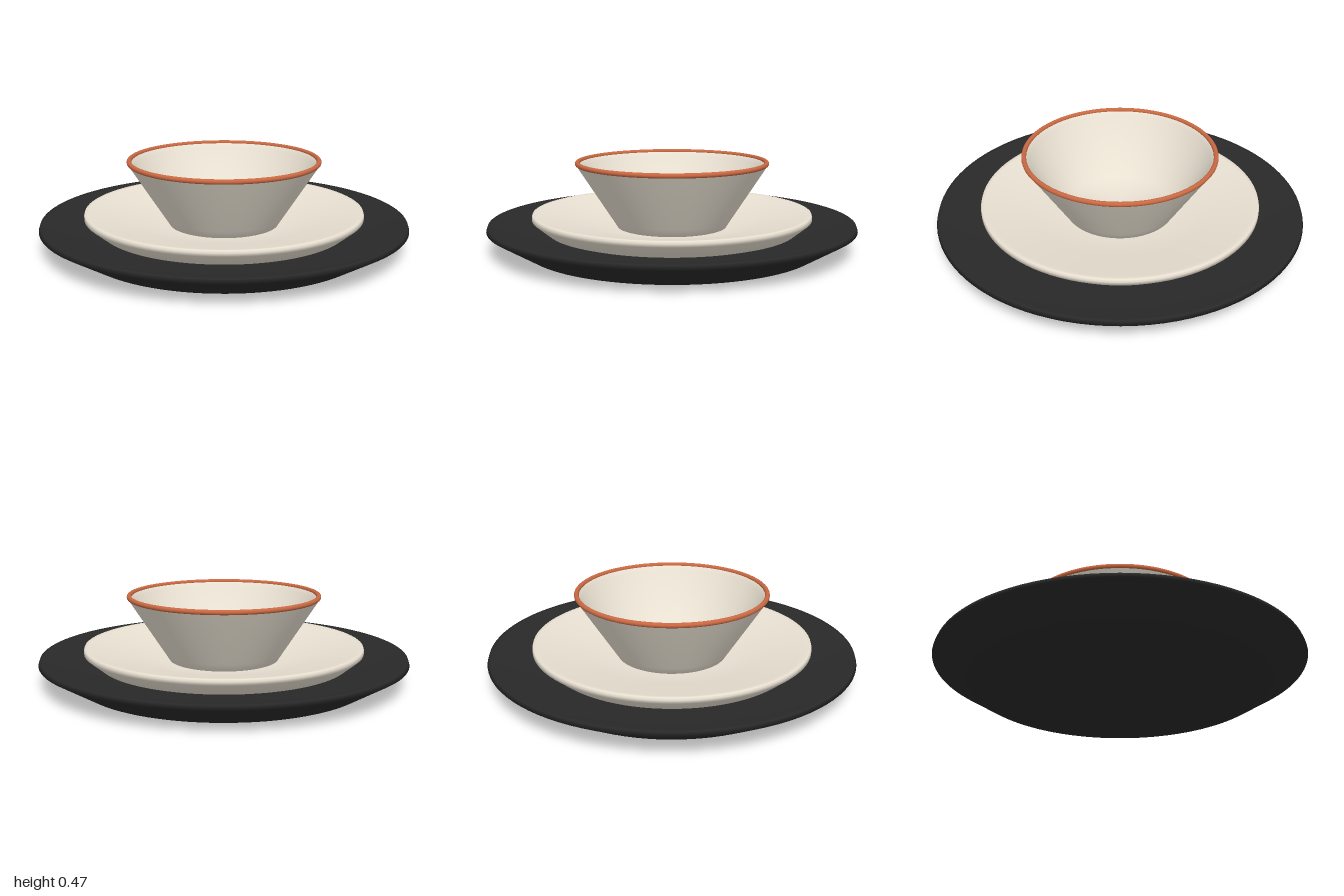
import * as THREE from 'three';

const material = (name, color) => {
  const m = new THREE.MeshStandardMaterial({ color });
  m.name = name;
  return m;
};

// Turns a profile of [radius, height] pairs, listed from underneath, outwards, up and back in
function turned(name, profile, mat) {
  const points = profile.map(([r, y]) => new THREE.Vector2(r, y));
  const mesh = new THREE.Mesh(new THREE.LatheGeometry(points, 96), mat);
  mesh.name = name;
  return mesh;
}

export function createModel() {
  const charcoal = material('charcoal', 0x292929);
  const cream = material('cream glaze', 0xe8e0d1);
  const rust = material('rust glaze', 0xc96842);

  const group = new THREE.Group();
  group.name = 'placeSetting';

  // Wide charger with sloping underside and a dished top
  group.add(turned('charger', [
    [0, 0], [0.8, 0], [1.0, 0.12], [0.992, 0.144], [0.975, 0.142], [0.66, 0.088], [0, 0.08],
  ], charcoal));

  // Shallow dished plate with a thin lip
  group.add(turned('plate', [
    [0, 0.085], [0.63, 0.085], [0.68, 0.1], [0.76, 0.165], [0.76, 0.182], [0.756, 0.195],
    [0.738, 0.194], [0.72, 0.19], [0.5, 0.146], [0.32, 0.111], [0, 0.106],
  ], cream));

  // Flared bowl with a deep floor
  group.add(turned('bowl', [
    [0, 0.106], [0.28, 0.106], [0.298, 0.112], [0.325, 0.154], [0.52, 0.456], [0.512, 0.466],
    [0.5, 0.46], [0.485, 0.437], [0.285, 0.14], [0, 0.13],
  ], cream));

  // Coloured band around the bowl's lip
  const rim = new THREE.Mesh(new THREE.TorusGeometry(0.512, 0.013, 16, 96), rust);
  rim.name = 'bowlRim';
  rim.rotation.x = -Math.PI / 2;
  rim.position.y = 0.462;
  group.add(rim);

  return group;
}
